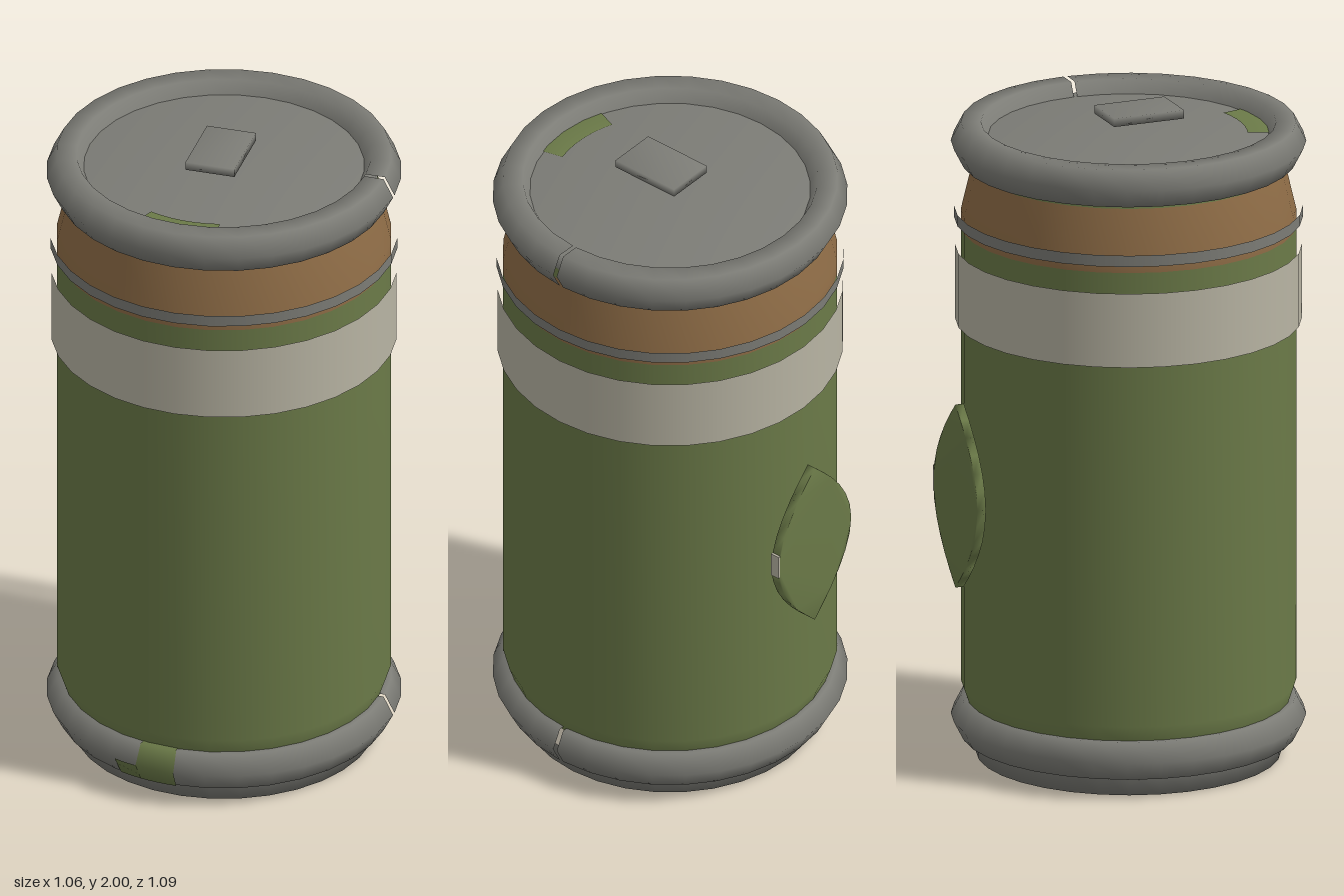
import * as THREE from 'three';
import { mergeVertices } from 'three/addons/utils/BufferGeometryUtils.js';

const SEGMENTS = 32;

function material(name, color) {
  const m = new THREE.MeshStandardMaterial({ color });
  m.name = name;
  return m;
}

// Share vertices between faces so that the shading runs smoothly over edges
function softened(geometry) {
  geometry.deleteAttribute('normal');
  geometry.deleteAttribute('uv');
  const merged = mergeVertices(geometry, 1e-4);
  merged.computeVertexNormals();
  return merged;
}

export function createModel() {
  const model = new THREE.Group();
  model.name = 'drinkCan';
  const can = new THREE.Group();
  can.name = 'can';
  can.position.z = 0.013;
  model.add(can);

  const olive = material('olive', 0x6b7a48);
  const grey = material('grey', 0x7c7c76);
  const cream = material('cream', 0xb8b4a3);
  const brown = material('brown', 0x8e6c46);

  const add = (parent, name, geometry, mat) => {
    const mesh = new THREE.Mesh(geometry, mat);
    mesh.name = name;
    parent.add(mesh);
    return mesh;
  };

  // Turned part from a profile of [radius, height] running bottom to top
  const turn = (name, profile, mat, start = 0, length = Math.PI * 2, segments = SEGMENTS) =>
    add(can, name, new THREE.LatheGeometry(
      profile.map(([r, y]) => new THREE.Vector2(r, y)), segments, start, length), mat);

  // Body, painted in horizontal zones
  turn('base', [[0, 0], [0.455, 0], [0.46, 0.07]], grey);
  turn('body', [[0.478, 0.16], [0.5, 0.225], [0.5, 1.64]], olive);
  turn('shoulder', [[0.5, 1.64], [0.5, 1.69], [0.467, 1.83]], brown);
  turn('neck', [[0.467, 1.83], [0.46, 1.86]], olive);
  turn('lid', [[0.46, 1.86], [0.46, 1.92], [0, 1.92]], grey);

  // Loose bands around the body
  turn('labelBand', [[0.517, 1.35], [0.517, 1.58]], cream);
  turn('thinHoop', [[0.52, 1.665], [0.52, 1.7]], grey);

  // Rolled rims, each with a narrow seam on the left side
  const rimProfile = (y, grow = 0) => [
    [-0.06, 0], [-0.03, -0.058], [0.03, -0.058], [0.06, 0], [0.03, 0.058], [-0.03, 0.058], [-0.06, 0],
  ].map(([dr, dy]) => [0.47 + dr * (1 + grow), y + dy * (1 + grow)]);
  const gap = 0.025;
  for (const [name, y] of [['bottomRim', 0.12], ['topRim', 1.903]]) {
    turn(name, rimProfile(y), grey, Math.PI / 2, Math.PI * 2 - gap);
  }

  // Paint patches on the bottom rim and lid
  turn('rimPatch', rimProfile(0.12, 0.04).slice(1, 6), olive, -0.23, 0.23, 4);
  turn('rimPatchLower', rimProfile(0.12, 0.04).slice(1, 4), olive, -0.37, 0.14, 3);
  turn('lidPatch', [[0.45, 1.9], [0.45, 1.923], [0.355, 1.923]], olive, -0.37, 0.62, 6);

  // Pull tab over the lid
  add(model, 'pullTab', softened(new THREE.BoxGeometry(0.152, 0.026, 0.226)), grey)
    .position.set(0, 1.987, 0.048);

  // Pointed leaf plate behind the can
  const leaf = new THREE.Shape();
  leaf.moveTo(0, -0.285);
  leaf.bezierCurveTo(0.08, -0.21, 0.17, -0.11, 0.17, 0);
  leaf.bezierCurveTo(0.17, 0.11, 0.08, 0.21, 0, 0.285);
  leaf.bezierCurveTo(-0.08, 0.21, -0.17, 0.11, -0.17, 0);
  leaf.bezierCurveTo(-0.17, -0.11, -0.08, -0.21, 0, -0.285);
  const leafGeometry = new THREE.ExtrudeGeometry(leaf, { depth: 0.027, bevelEnabled: false, curveSegments: 6 });
  add(model, 'leafPlate', softened(leafGeometry), olive).position.set(0, 0.86, -0.547);
  add(model, 'leafEdgeMark', new THREE.BoxGeometry(0.008, 0.08, 0.028), cream)
    .position.set(0.167, 0.87, -0.5335);

  return model;
}
